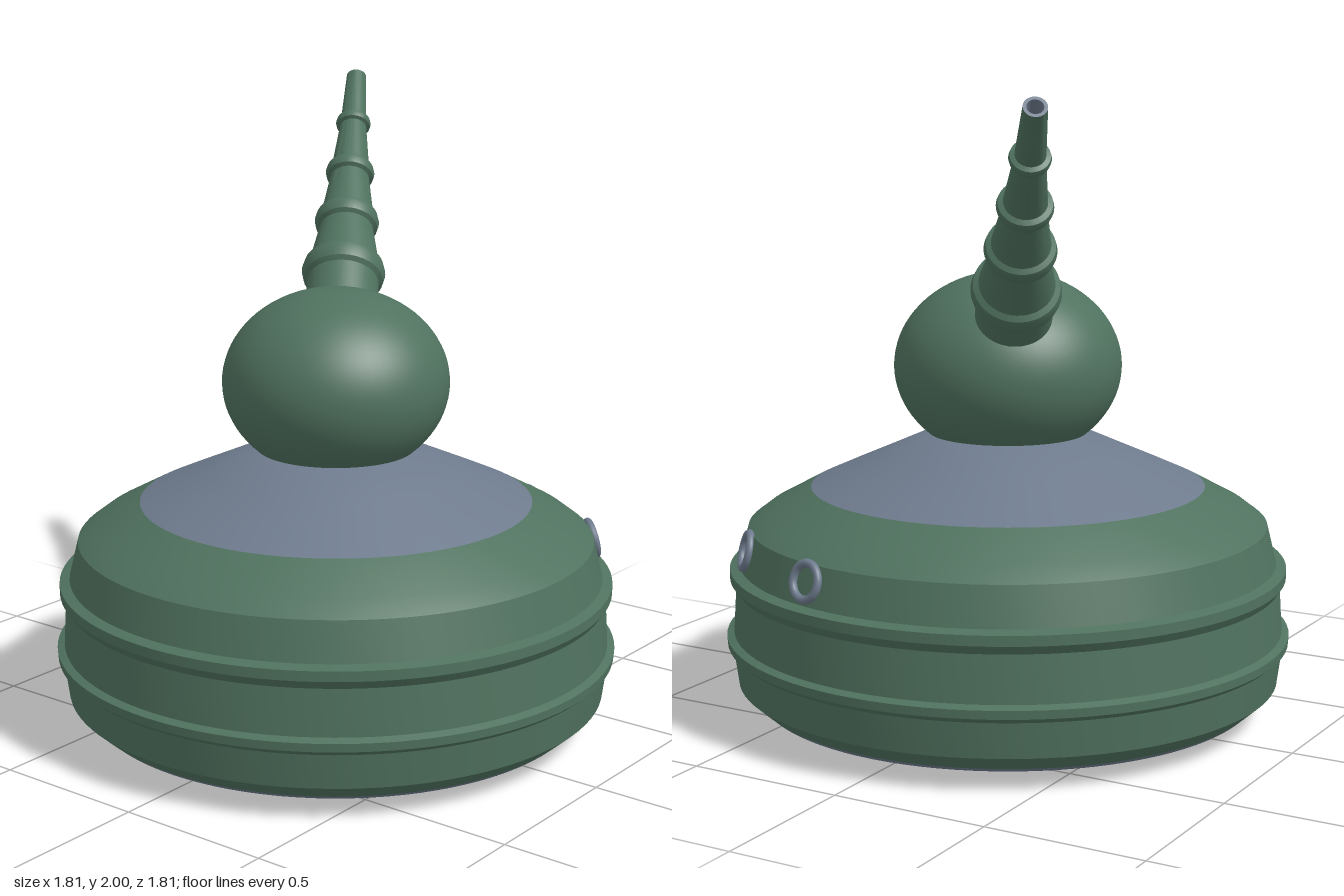
import * as THREE from 'three';
import { toCreasedNormals } from 'three/addons/utils/BufferGeometryUtils.js';

const green = new THREE.MeshStandardMaterial({ color: 0x50725f });
green.name = 'armour green';
const slate = new THREE.MeshStandardMaterial({ color: 0x6e7b8d });
slate.name = 'slate grey';

// Revolved part from [radius, height] pairs, listed bottom to top on the outside
function lathe(name, profile, material, segments = 96) {
  const points = profile.map(([r, y]) => new THREE.Vector2(r, y));
  const geometry = toCreasedNormals(new THREE.LatheGeometry(points, segments), 0.5);
  const mesh = new THREE.Mesh(geometry, material);
  mesh.name = name;
  return mesh;
}

export function createModel() {
  const model = new THREE.Group();
  model.name = 'domeTurret';

  // Underside, banded hull and sloping collar
  model.add(lathe('underside', [[0, 0], [0.66, 0.005], [0.8, 0.048], [0.814, 0.06]], slate));
  model.add(lathe('hull', [
    [0.814, 0.06], [0.87, 0.11], [0.885, 0.222],
    [0.903, 0.238], [0.905, 0.265], [0.882, 0.275], // lower band
    [0.873, 0.422],
    [0.892, 0.45], [0.892, 0.482], [0.86, 0.492], // upper band
    [0.83, 0.615], [0.775, 0.657], [0.63, 0.735],
  ], green));
  model.add(lathe('collar', [
    [0.63, 0.735], [0.52, 0.785], [0.4, 0.838], [0.25, 0.905], [0, 0.905],
  ], slate));

  // Flattened ball head, sunk into the collar
  const head = new THREE.Mesh(new THREE.SphereGeometry(1, 64, 40), green);
  head.name = 'head';
  head.scale.set(0.362, 0.3, 0.362);
  head.position.y = 1.12;
  model.add(head);

  // Stepped barrel: tapering sections with a rounded ring at each joint
  const start = new THREE.Vector3(0, 1.1, 0);
  const tip = new THREE.Vector3(0.873, 1.976, -0.587);
  const length = start.distanceTo(tip);
  const barrel = new THREE.Group();
  barrel.name = 'barrel';
  barrel.position.copy(start);
  barrel.quaternion.setFromUnitVectors(
    new THREE.Vector3(0, 1, 0), tip.clone().sub(start).normalize());

  const joints = [ // distance, section radius before, ring radius, radius after
    [0.47, 0.118, 0.138, 0.115],
    [0.69, 0.09, 0.108, 0.088],
    [0.91, 0.066, 0.083, 0.064],
    [1.14, 0.046, 0.06, 0.044],
  ];
  const profile = [[0.12, 0.1]];
  for (const [t, before, ring, after] of joints) {
    const h = ring * 0.3;
    profile.push([before, t - h], [ring * 0.95, t - h * 0.7], [ring, t],
      [ring * 0.95, t + h * 0.7], [after, t + h]);
  }
  profile.push([0.034, length]);
  barrel.add(lathe('barrelTube', profile, green, 48));
  barrel.add(lathe('muzzle', [
    [0.034, length], [0.024, length], [0.022, length - 0.08], [0, length - 0.08],
  ], slate, 32));
  model.add(barrel);

  // Two porthole rims lying on the sloping hull wall
  for (const degrees of [45, 75]) {
    const pivot = new THREE.Group();
    pivot.name = 'porthole';
    pivot.rotation.y = THREE.MathUtils.degToRad(degrees);
    const rim = new THREE.Mesh(new THREE.TorusGeometry(0.055, 0.013, 12, 40), slate);
    rim.name = 'portholeRim';
    rim.position.set(0, 0.565, 0.848);
    rim.rotation.x = -0.24;
    pivot.add(rim);
    model.add(pivot);
  }
  return model;
}
